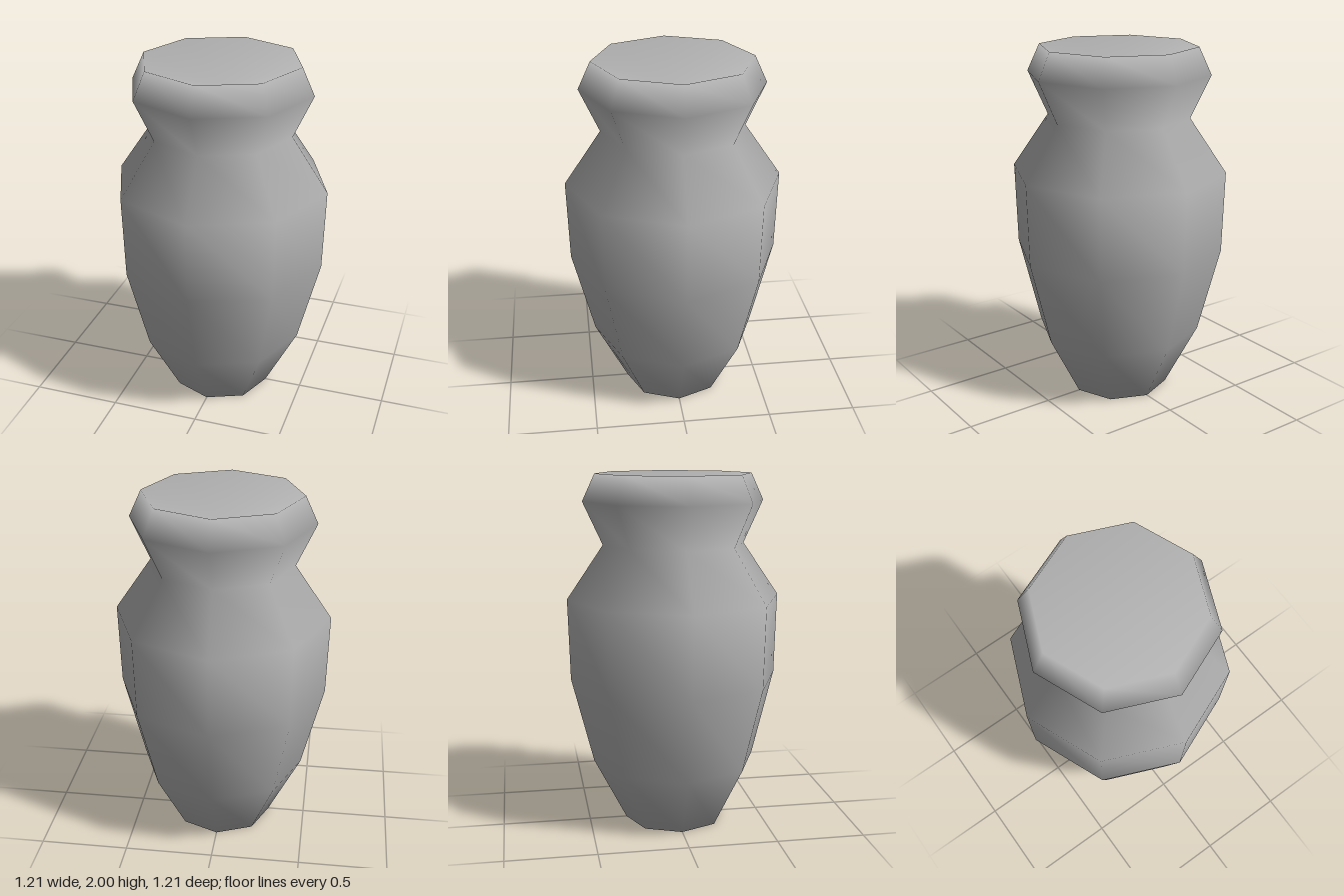
import * as THREE from 'three';
import { mergeVertices } from 'three/addons/utils/BufferGeometryUtils.js';

export function createModel() {
  const model = new THREE.Group();
  model.name = 'vase';

  const greyClay = new THREE.MeshStandardMaterial({ color: 0xb4b4b4 });
  greyClay.name = 'grey clay';

  // Profile (radius, height) from the base centre, up the wall and into the dished mouth
  const profile = [
    [0, 0], [0.285, 0],
    [0.47, 0.36], [0.593, 0.85], [0.605, 1.31], // belly
    [0.4, 1.61],                                // neck
    [0.51, 1.85], [0.44, 2],                    // lip
    [0, 1.85],                                  // mouth
  ].map(([r, y]) => new THREE.Vector2(r, y));

  // Eight-sided body, welded so that the shading runs smoothly over every edge
  const lathe = new THREE.LatheGeometry(profile, 8);
  lathe.deleteAttribute('normal');
  lathe.deleteAttribute('uv');
  const geometry = mergeVertices(lathe, 1e-4);
  geometry.computeVertexNormals();

  const body = new THREE.Mesh(geometry, greyClay);
  body.name = 'vaseBody';
  model.add(body);
  return model;
}
